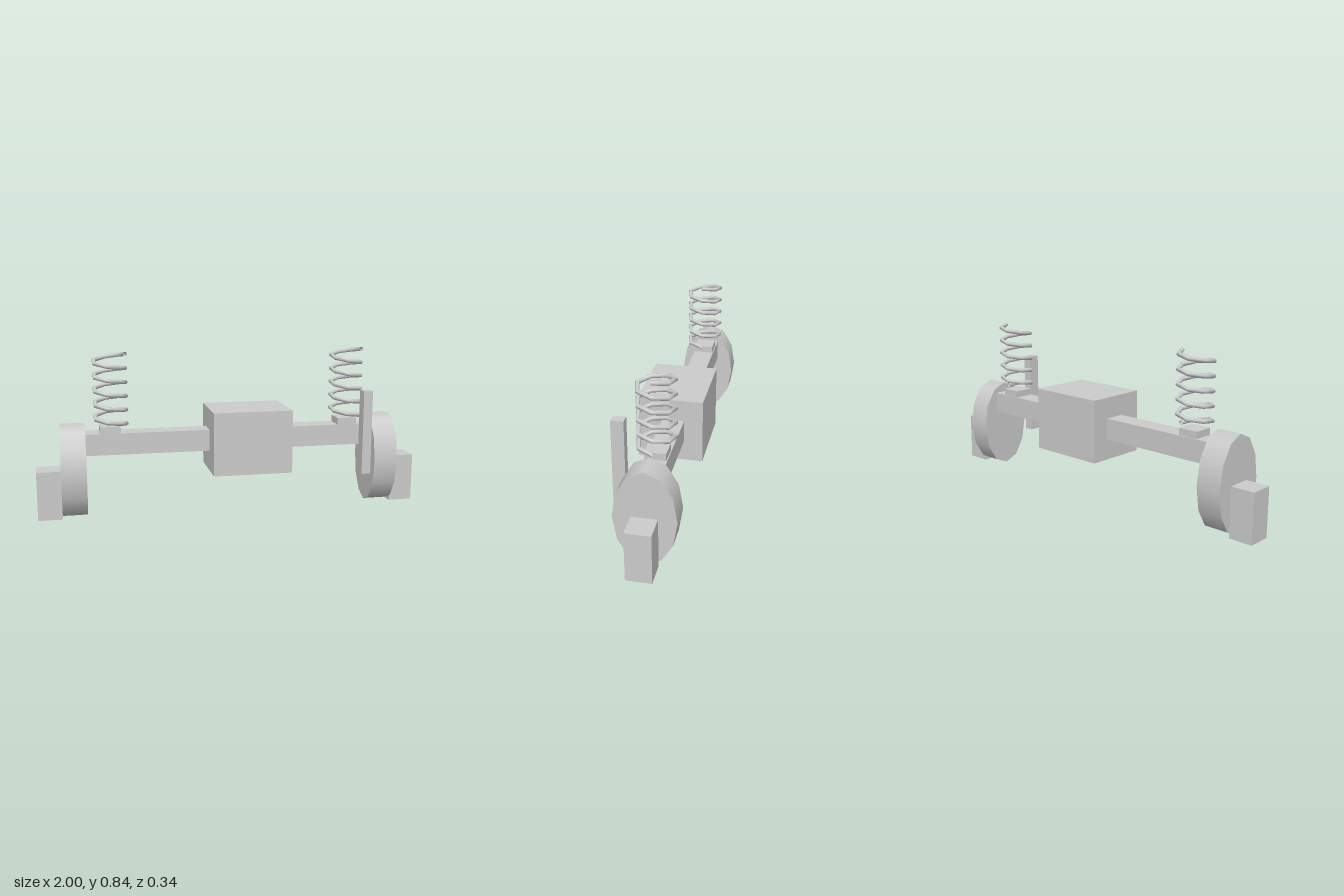
import * as THREE from 'three';

const material = new THREE.MeshStandardMaterial({ color: 0xcccccc });
const springMaterial = new THREE.MeshStandardMaterial({ color: 0xcccccc, side: THREE.DoubleSide });

// Box given by its extents along each axis
function box(name, [x0, x1], [y0, y1], [z0, z1]) {
  const mesh = new THREE.Mesh(new THREE.BoxGeometry(x1 - x0, y1 - y0, z1 - z0), material);
  mesh.position.set((x0 + x1) / 2, (y0 + y1) / 2, (z0 + z1) / 2);
  mesh.name = name;
  return mesh;
}

// Twelve-sided oval disc lying across the axle
function hubDisc(name, x0, x1) {
  const geometry = new THREE.CylinderGeometry(1, 1, x1 - x0, 12);
  geometry.rotateZ(Math.PI / 2);
  geometry.scale(1, 0.2415, 0.148);
  const mesh = new THREE.Mesh(geometry, material);
  mesh.position.set((x0 + x1) / 2, 0.2415, -0.017);
  mesh.name = name;
  return mesh;
}

// Rising coil, slightly narrower in x than in z
class Helix extends THREE.Curve {
  constructor(turns, height, rx, rz) {
    super();
    Object.assign(this, { turns, height, rx, rz });
  }
  getPoint(t, target = new THREE.Vector3()) {
    const a = t * this.turns * Math.PI * 2;
    return target.set(this.rx * Math.cos(a), t * this.height, this.rz * Math.sin(a));
  }
}

export function createModel() {
  const model = new THREE.Group();
  model.name = 'axleAssembly';

  // Axle beam, central housing and the single damper
  model.add(
    box('axleBeam', [-0.76, 0.76], [0.32, 0.43], [-0.078, 0.03]),
    box('differentialHousing', [-0.12, 0.29], [0.213, 0.538], [-0.17, 0.155]),
    box('damper', [0.663, 0.711], [0.19, 0.627], [0.109, 0.17]),
  );

  // Hubs and outer blocks
  model.add(
    hubDisc('rightHub', -0.878, -0.752),
    hubDisc('leftHub', 0.749, 0.874),
    box('rightEndBlock', [-1, -0.878], [0, 0.25], [-0.078, 0.045]),
    box('leftEndBlock', [0.874, 1], [0, 0.25], [-0.078, 0.045]),
  );

  // Springs on their seats: five turns, seven segments per turn
  const coil = new THREE.TubeGeometry(new Helix(5, 0.353, 0.081, 0.088), 35, 0.011, 8);
  for (const [side, x] of [['right', -0.622], ['left', 0.629]]) {
    const spring = new THREE.Mesh(coil, springMaterial);
    spring.name = side + 'Spring';
    spring.position.set(x, 0.473, -0.017);
    model.add(spring);
    model.add(box(side + 'SpringSeat', [x - 0.056, x + 0.048], [0.43, 0.465], [-0.073, 0.03]));
  }
  return model;
}
